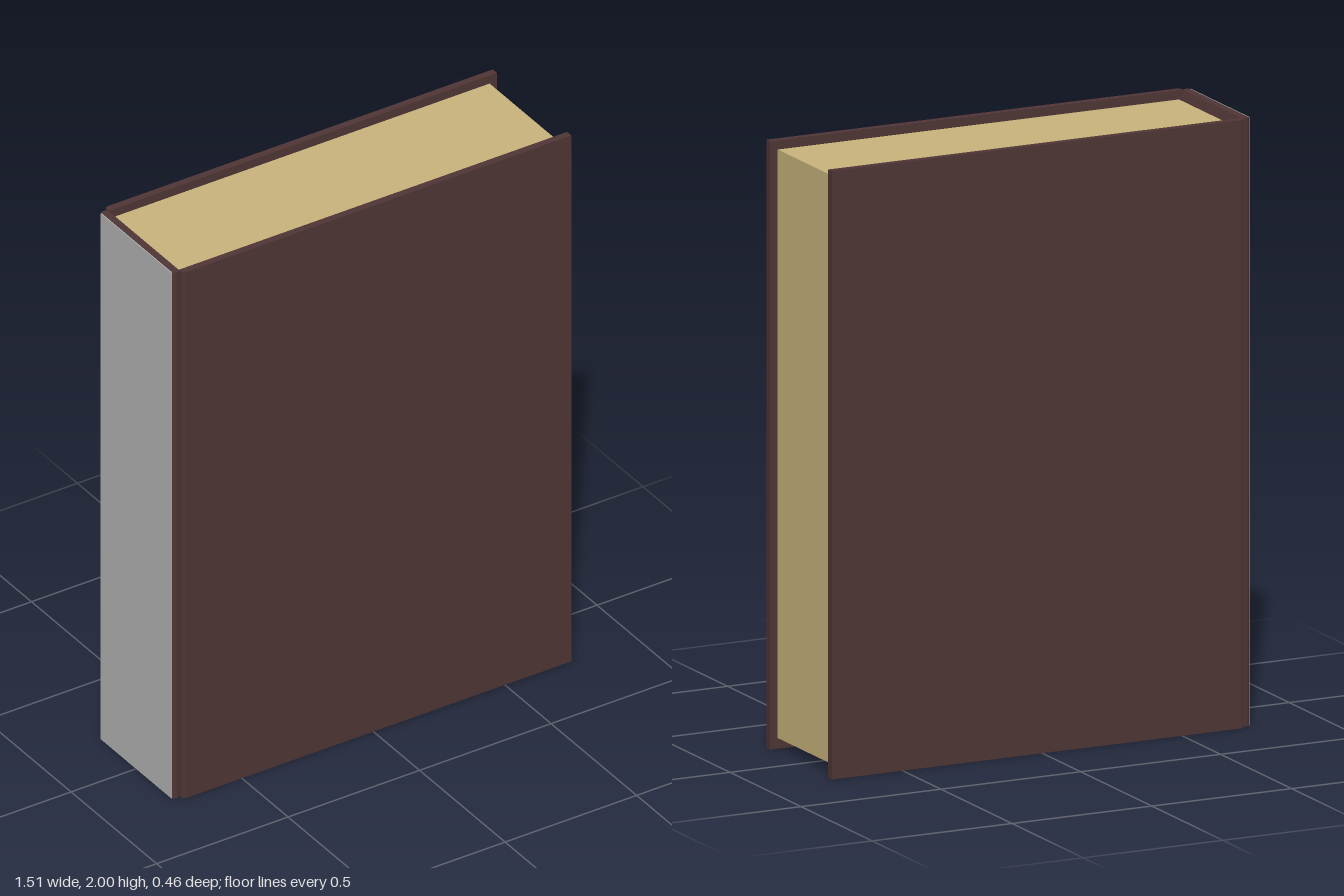
import * as THREE from 'three';

const leather = new THREE.MeshStandardMaterial({ color: 0x4e3534 });
leather.name = 'brown leather';
const paper = new THREE.MeshStandardMaterial({ color: 0xc8b27c });
paper.name = 'aged paper';
const grey = new THREE.MeshStandardMaterial({ color: 0xb2b2b2 });
grey.name = 'grey spine cloth';

const H = 2, X = 0.753;

function add(group, name, geometry, material) {
  const mesh = new THREE.Mesh(geometry, material);
  mesh.name = name;
  group.add(mesh);
  return mesh;
}

function extrude(points, depth) {
  const shape = new THREE.Shape(points.map(([x, y]) => new THREE.Vector2(x, y)));
  return new THREE.ExtrudeGeometry(shape, { depth, bevelEnabled: false });
}

// Plan outline given as [x, z], raised to the full height of the book
function upright(points) {
  return extrude(points.map(([x, z]) => [x, -z]), H).rotateX(-Math.PI / 2);
}

export function createModel() {
  const book = new THREE.Group();
  book.name = 'book';

  // Page block, set in from the cover edges
  const pages = add(book, 'pages', new THREE.BoxGeometry(1.435, 1.935, 0.41), paper);
  pages.position.set(0.0075, 1.0025, 0);

  // Cover boards, with softened hinge corners
  for (const [name, s] of [['frontCover', 1], ['backCover', -1]]) {
    add(book, name, upright([
      [-0.724, 0.205 * s], [X, 0.205 * s], [X, 0.23 * s],
      [-0.712, 0.23 * s], [-0.721, 0.226 * s], [-0.725, 0.217 * s],
    ]), leather);
  }

  // Spine board with chamfered long edges
  add(book, 'spine', upright([
    [-0.75, -0.207], [-0.742, -0.214], [-0.731, -0.214], [-0.724, -0.205],
    [-0.724, 0.205], [-0.731, 0.214], [-0.742, 0.214], [-0.75, 0.207],
  ]), leather);

  // Lining that slopes from the spine edges in to the pages
  const lining = add(book, 'spineLining', extrude([
    [-0.73, 0], [-0.724, 0], [-0.709, 0.04], [-0.709, 1.965], [-0.724, H], [-0.73, H],
  ], 0.41), leather);
  lining.position.z = -0.205;

  // Flat outer face of the spine
  const face = add(book, 'spineFace', new THREE.BoxGeometry(0.003, H, 0.414), grey);
  face.position.set(-0.7515, H / 2, 0);

  return book;
}
